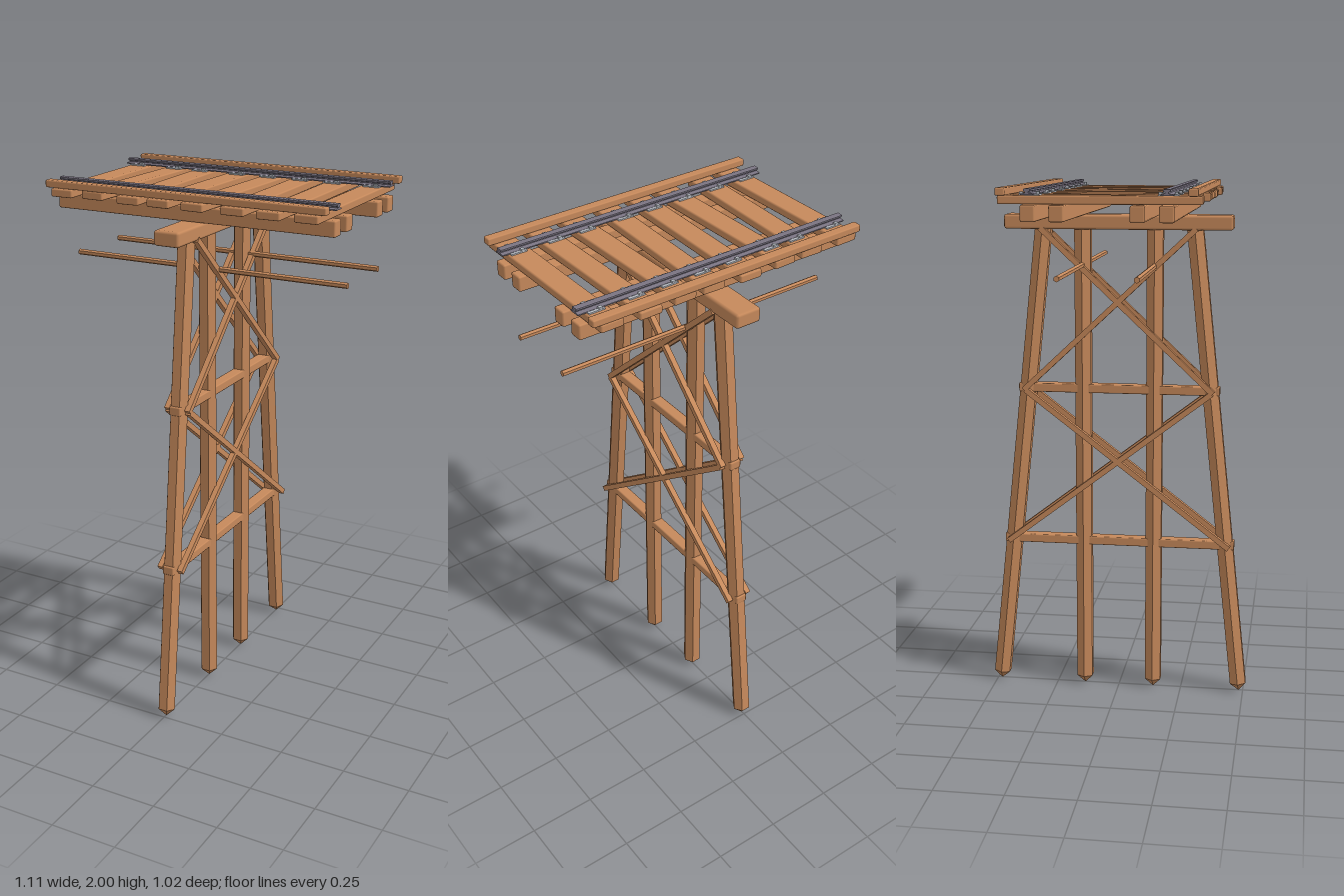
import * as THREE from 'three';
import { RoundedBoxGeometry } from 'three/addons/geometries/RoundedBoxGeometry.js';

const UP = new THREE.Vector3(0, 1, 0);
const HALF = 0.553; // half length of the deck

export function createModel() {
  const wood = new THREE.MeshStandardMaterial({ color: 0xc6895b });
  wood.name = 'timber';
  const steel = new THREE.MeshStandardMaterial({ color: 0x7a7482 });
  steel.name = 'rail steel';
  const iron = new THREE.MeshStandardMaterial({ color: 0xb6bbc2 });
  iron.name = 'plate iron';

  const model = new THREE.Group();
  model.name = 'trestleBridge';

  function group(name) {
    const g = new THREE.Group();
    g.name = name;
    model.add(g);
    return g;
  }
  function add(parent, name, geometry, material, x = 0, y = 0, z = 0) {
    const mesh = new THREE.Mesh(geometry, material);
    mesh.name = name;
    mesh.position.set(x, y, z);
    parent.add(mesh);
    return mesh;
  }
  // Timber with softly worn edges
  function timber(parent, name, w, h, d, x, y, z, r = 0.006) {
    return add(parent, name, new RoundedBoxGeometry(w, h, d, 1, r), wood, x, y, z);
  }
  // Lay a part's y axis along the line from a to b
  function span(mesh, a, b) {
    mesh.position.copy(a).add(b).multiplyScalar(0.5);
    mesh.quaternion.setFromUnitVectors(UP, b.clone().sub(a).normalize());
  }
  function hexPrism(rTop, rBottom, length) {
    const g = new THREE.CylinderGeometry(rTop, rBottom, length, 6, 1, false, Math.PI / 2).toNonIndexed();
    g.computeVertexNormals();
    return g;
  }
  const v = (x, y, z) => new THREE.Vector3(x, y, z);

  // Hexagonal piles with pointed feet: two upright, two raked
  const piles = group('piles');
  for (const [zFoot, zTop] of [[0.48, 0.287], [0.138, 0.138], [-0.138, -0.138], [-0.48, -0.287]]) {
    const foot = v(0, 0.038, zFoot), top = v(0, 1.845, zTop);
    const length = foot.distanceTo(top);
    span(add(piles, 'pile', hexPrism(0.0355, 0.0355, length), wood), foot, top);
    const dir = top.clone().sub(foot).normalize();
    const tip = foot.clone().addScaledVector(dir, -0.034);
    span(add(piles, 'pileTip', hexPrism(0.0355, 0.001, 0.034), wood), tip, foot);
  }

  // Cross beams and paired diagonal braces
  const bracing = group('bracing');
  timber(bracing, 'crossBeam', 0.046, 0.034, 0.78, 0, 1.22, 0, 0.005);
  timber(bracing, 'crossBeam', 0.046, 0.034, 0.91, 0, 0.61, 0, 0.005);
  for (const [yTop, zTop, yLow, zLow] of [[1.835, 0.295, 1.215, 0.365], [1.215, 0.36, 0.605, 0.435]]) {
    for (const x of [-0.042, 0.042]) {
      for (const s of [-1, 1]) {
        const a = v(x, yLow, s * zLow), b = v(x, yTop, -s * zTop);
        span(add(bracing, 'diagonalBrace', new THREE.BoxGeometry(0.021, a.distanceTo(b), 0.021), wood), a, b);
      }
    }
  }

  // Thin lengthwise rods
  for (const z of [-0.138, 0.138]) {
    const rod = add(bracing, 'tieRod', hexPrism(0.011, 0.011, 2 * HALF), wood);
    span(rod, v(-HALF, 1.695, z), v(HALF, 1.695, z));
  }

  // Cap beam and lengthwise stringers
  const frame = group('deckFrame');
  timber(frame, 'capBeam', 0.1, 0.055, 0.865, 0, 1.857, 0, 0.01);
  for (const z of [-0.237, -0.138, 0.138, 0.237]) {
    timber(frame, 'stringer', 2 * HALF, 0.057, 0.052, 0, 1.914, z);
  }

  // Uneven sleepers: x at the back, x at the front, z of each end
  const sleepers = group('sleepers');
  const fixings = group('railFixings');
  const layout = [
    [-0.495, -0.477, -0.345, 0.355], [-0.338, -0.356, -0.345, 0.342],
    [-0.22, -0.197, -0.348, 0.36], [-0.066, -0.077, -0.356, 0.358],
    [0.078, 0.059, -0.345, 0.36], [0.194, 0.213, -0.345, 0.357],
    [0.337, 0.351, -0.356, 0.364], [0.48, 0.487, -0.348, 0.356],
  ];
  layout.forEach(([xBack, xFront, zBack, zFront], i) => {
    const sleeper = timber(sleepers, 'sleeper', 0.088, 0.03, zFront - zBack,
      (xBack + xFront) / 2, 1.959, (zBack + zFront) / 2);
    const yaw = Math.atan2(xFront - xBack, zFront - zBack);
    sleeper.rotation.y = yaw;

    // Plate and two spikes under each rail
    for (const z of [-0.237, 0.237]) {
      const x = xBack + (xFront - xBack) * (z - zBack) / (zFront - zBack);
      const shift = i % 2 ? 0.006 : -0.006;
      add(fixings, 'railPlate', new THREE.BoxGeometry(0.062, 0.005, 0.07), iron, x + shift, 1.9765, z + 0.002)
        .rotation.y = yaw * 0.5;
      for (const s of [-1, 1]) {
        add(fixings, 'spike', new THREE.BoxGeometry(0.014, 0.008, 0.012), iron, x + shift + s * 0.015, 1.982, z + s * 0.026);
      }
    }
  });

  // Flat-bottomed rails
  const rails = group('rails');
  const half = [[0.022, 0], [0.022, 0.004], [0.006, 0.007], [0.006, 0.011], [0.012, 0.013], [0.012, 0.019], [0.009, 0.021]];
  const outline = [...half, ...half.map(([x, y]) => [-x, y]).reverse()];
  const profile = new THREE.Shape(outline.map(([x, y]) => new THREE.Vector2(x, y)));
  for (const z of [-0.237, 0.237]) {
    const geometry = new THREE.ExtrudeGeometry(profile, { depth: 2 * HALF, bevelEnabled: false });
    geometry.translate(0, 0, -HALF).rotateY(Math.PI / 2);
    add(rails, 'rail', geometry, steel, 0, 1.976, z);
  }

  // Guard timbers along the deck edges
  const guards = group('guardTimbers');
  for (const z of [-0.331, 0.326]) timber(guards, 'guardTimber', 2 * HALF, 0.027, 0.034, 0, 1.9865, z, 0.005);

  return model;
}
